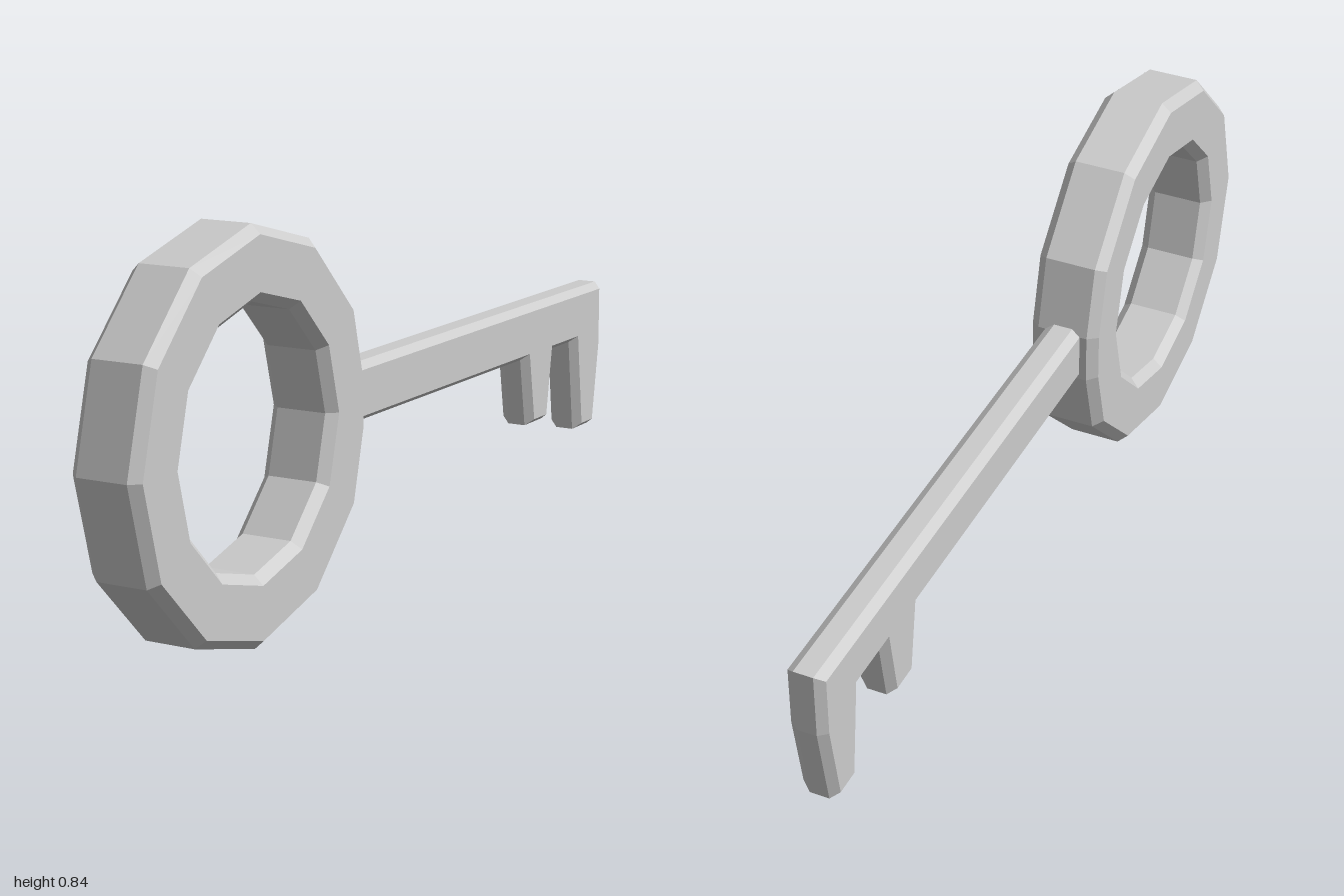
import * as THREE from 'three';

const material = new THREE.MeshStandardMaterial({ color: 0xcccccc, flatShading: true });

// Chamfered plate: outline drawn in (z, y), thickness centred on x = 0.
// The outline is the widest contour; the flat faces are inset by the chamfer.
function chamferedPlate(name, shape, halfWidth, halfFlat, inset) {
  const geometry = new THREE.ExtrudeGeometry(shape, {
    depth: 2 * halfFlat,
    bevelEnabled: true,
    bevelThickness: halfWidth - halfFlat,
    bevelSize: inset,
    bevelOffset: -inset,
    bevelSegments: 1,
  });
  geometry.translate(0, 0, -halfFlat);
  geometry.rotateY(-Math.PI / 2);
  const mesh = new THREE.Mesh(geometry, material);
  mesh.name = name;
  return mesh;
}

const points = (list) => list.map(([z, y]) => new THREE.Vector2(z, y));

export function createModel() {
  const group = new THREE.Group();
  group.name = 'key';

  // Twelve-sided bow; the corner facing the shaft is cut flat
  const cz = 0.583, cy = 0.418;
  const corner = (r, i) => [cz + r * Math.cos((i * Math.PI) / 6), cy + r * Math.sin((i * Math.PI) / 6)];
  const outer = [], hole = [];
  for (let i = 0; i < 12; i++) {
    if (i === 6) outer.push([0.181, cy + 0.055], [0.181, cy - 0.055]);
    else outer.push(corner(0.418, i));
    hole.push(corner(0.268, i));
  }
  const bow = new THREE.Shape(points(outer));
  bow.holes.push(new THREE.Path(points(hole)));
  group.add(chamferedPlate('bow', bow, 0.077, 0.056, 0.019));

  // Shaft and its two tapered teeth, one continuous outline
  const blade = new THREE.Shape(points([
    [0.22, 0.487], [0.22, 0.362],
    [-0.609, 0.362], [-0.635, 0.204], [-0.721, 0.204], [-0.747, 0.362],
    [-0.861, 0.362], [-0.887, 0.146], [-0.968, 0.146], [-1, 0.34],
    [-1, 0.487],
  ]));
  group.add(chamferedPlate('shaftWithTeeth', blade, 0.04, 0.021, 0.014));

  return group;
}
